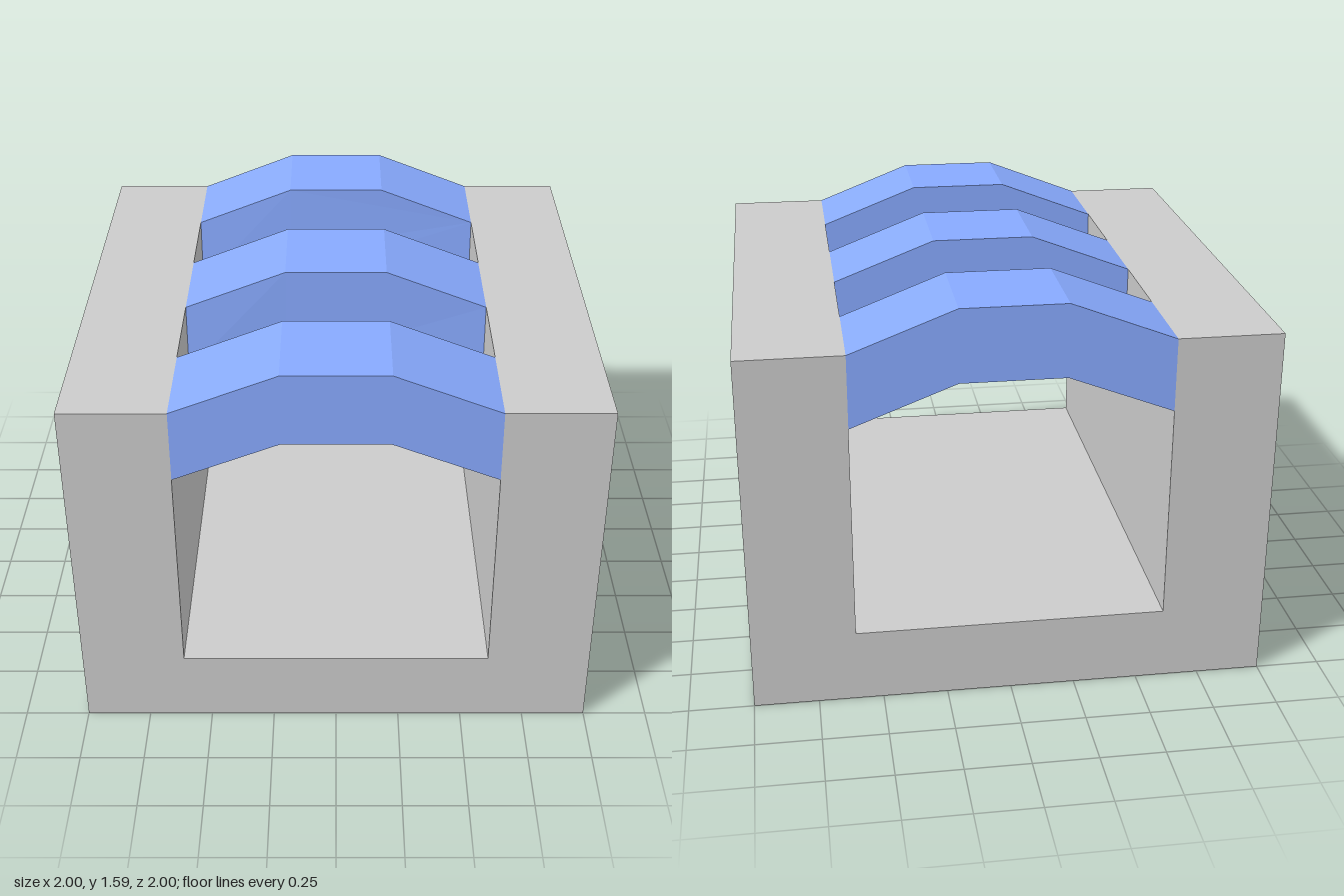
import * as THREE from 'three';

const grey = new THREE.MeshStandardMaterial({ color: 0xcccccc, flatShading: true });
const blue = new THREE.MeshStandardMaterial({ color: 0x88aaff, flatShading: true });

// Extrude an outline along z, starting at the given z
function extrude(points, z, depth) {
  const shape = new THREE.Shape(points.map(([x, y]) => new THREE.Vector2(x, y)));
  return new THREE.ExtrudeGeometry(shape, { depth, bevelEnabled: false }).translate(0, 0, z);
}

export function createModel() {
  const model = new THREE.Group();
  model.name = 'archedChannel';

  // U-shaped body: floor with two side walls, open at both ends
  const body = new THREE.Mesh(extrude([
    [-1, 0], [1, 0], [1, 1.43], [0.6, 1.43],
    [0.6, 0.29], [-0.6, 0.29], [-0.6, 1.43], [-1, 1.43],
  ], -1, 2), grey);
  body.name = 'channelBody';
  model.add(body);

  // Three faceted arches; leans push the lower front edge slightly forward
  const arches = [
    { name: 'frontArch', z: 0.6, endLean: 0, midLean: 0 },
    { name: 'middleArch', z: -0.2, endLean: 0.01, midLean: 0 },
    { name: 'backArch', z: -1, endLean: 0.016, midLean: 0.01 },
  ];
  for (const { name, z, endLean, midLean } of arches) {
    const geometry = extrude([
      [-0.6, 1.145], [-0.2, 1.3], [0.2, 1.3], [0.6, 1.145],
      [0.6, 1.43], [0.2, 1.585], [-0.2, 1.585], [-0.6, 1.43],
    ], z, 0.4);
    const p = geometry.attributes.position;
    for (let i = 0; i < p.count; i++) {
      const lower = p.getY(i) < 1.35;
      const front = p.getZ(i) > z + 0.2;
      if (lower && front) p.setZ(i, p.getZ(i) + (Math.abs(p.getX(i)) > 0.4 ? endLean : midLean));
    }
    geometry.computeVertexNormals();
    const arch = new THREE.Mesh(geometry, blue);
    arch.name = name;
    model.add(arch);
  }
  return model;
}
